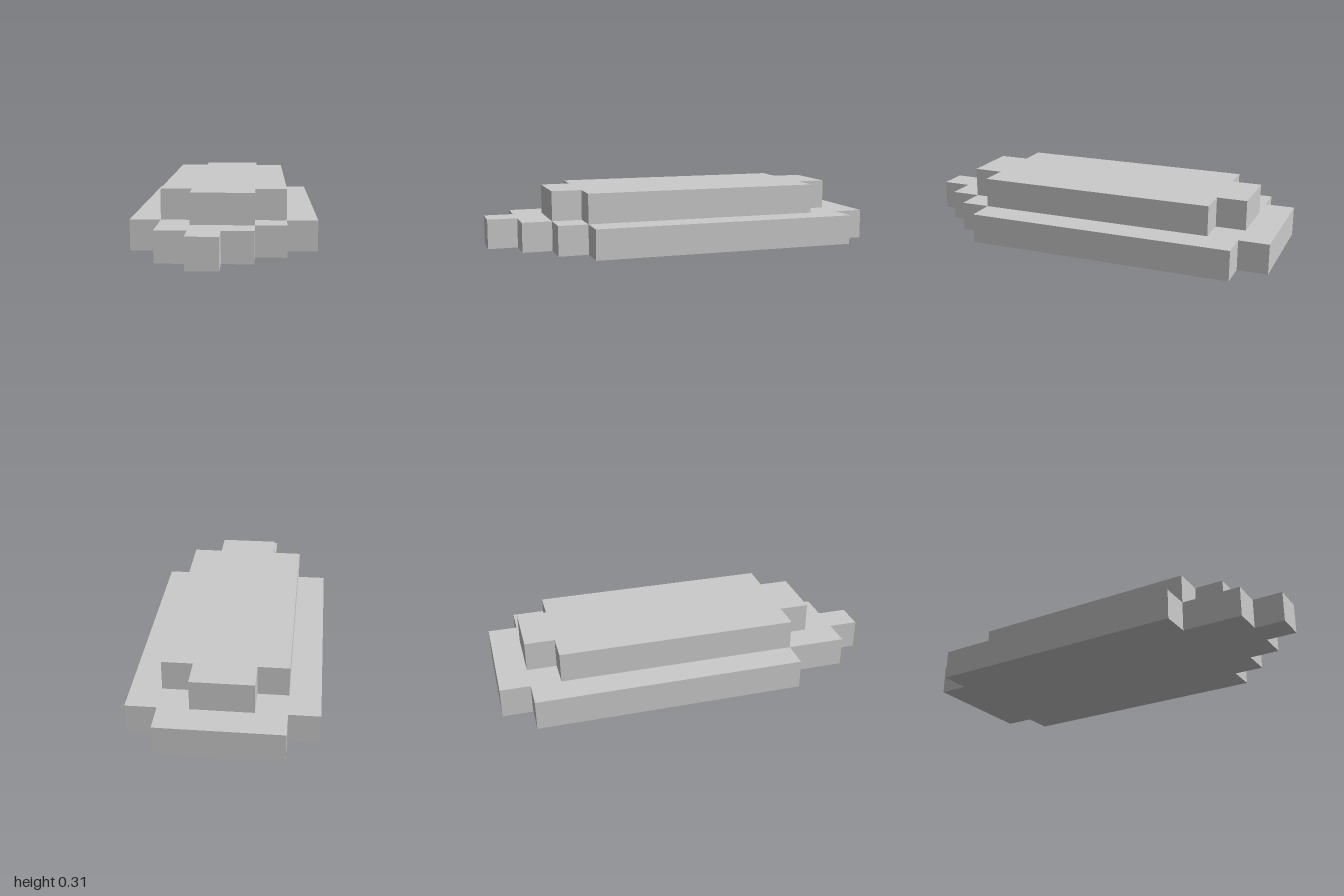
import * as THREE from 'three';

// One grid cell; the model is 13 cells long
const CELL = 2 / 13;

// Stepped outlines as [x, z] corners in cells
const BASE = [
  [-2, -6.5], [2, -6.5], [2, -5.5], [3, -5.5], [3, 3.5], [2, 3.5], [2, 4.5],
  [1, 4.5], [1, 5.5], [0, 5.5], [0, 6.5], [-1, 6.5], [-1, 5.5], [-2, 5.5],
  [-2, 3.5], [-3, 3.5], [-3, -5.5], [-2, -5.5],
];
const TOP = [
  [-1, -5.5], [1, -5.5], [1, -4.5], [2, -4.5], [2, 3.5], [1, 3.5],
  [1, 4.5], [-1, 4.5], [-1, 3.5], [-2, 3.5], [-2, -4.5], [-1, -4.5],
];

// Extrudes an outline one cell upward, starting at the given level
function makeLayer(name, outline, level, material) {
  const shape = new THREE.Shape(outline.map(([x, z]) => new THREE.Vector2(x * CELL, -z * CELL)));
  const geometry = new THREE.ExtrudeGeometry(shape, { depth: CELL, bevelEnabled: false });
  geometry.rotateX(-Math.PI / 2);
  const mesh = new THREE.Mesh(geometry, material);
  mesh.name = name;
  mesh.position.y = level * CELL;
  return mesh;
}

export function createModel() {
  const material = new THREE.MeshStandardMaterial({ color: 0xcccccc, flatShading: true });
  const model = new THREE.Group();
  model.name = 'steppedSlab';
  model.add(
    makeLayer('baseLayer', BASE, 0, material),
    makeLayer('topLayer', TOP, 1, material),
  );
  return model;
}
